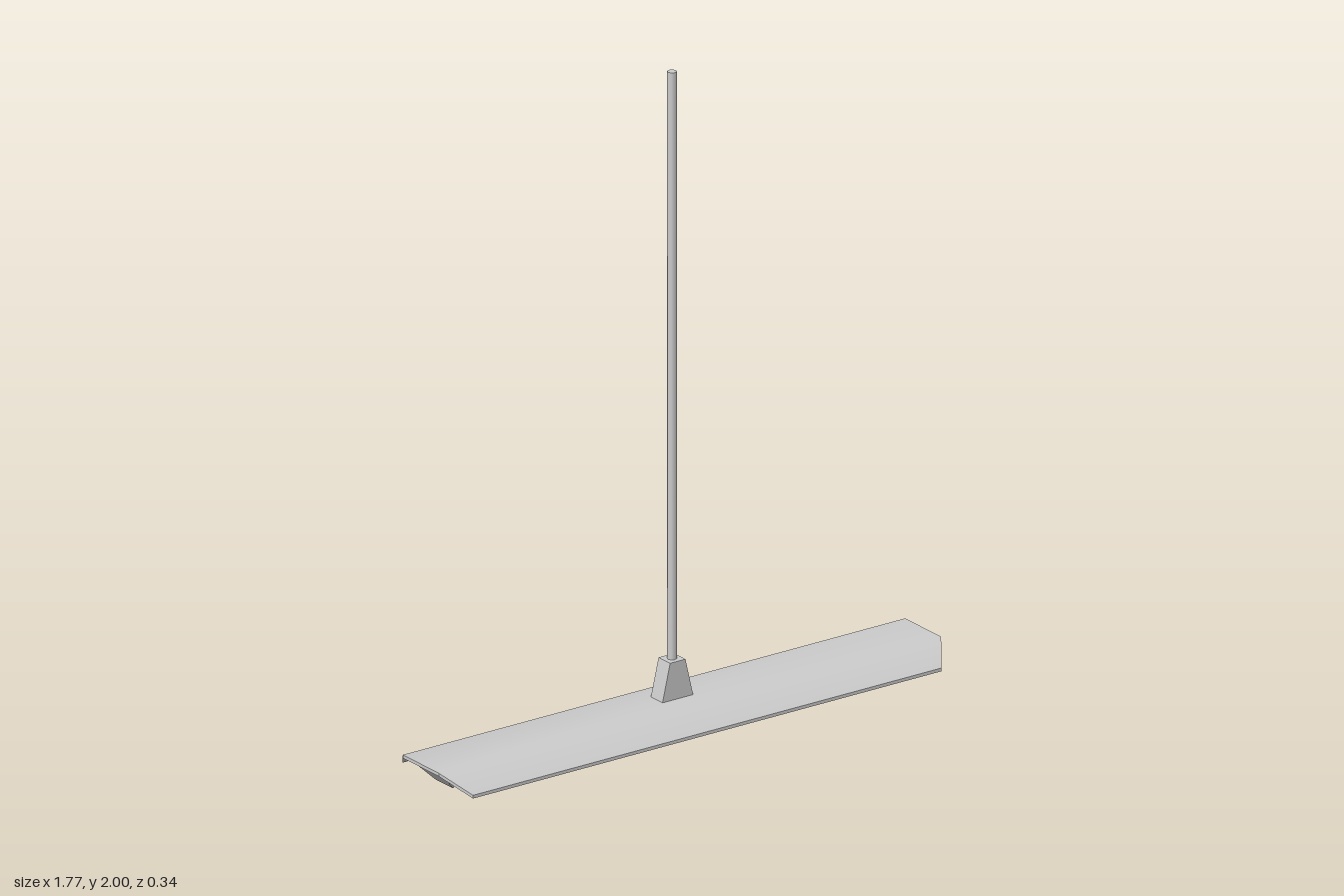
import * as THREE from 'three';

// Box whose bottom and top rectangles are given as [x0, x1, halfDepth]
function taperedBox(y0, y1, bottom, top) {
  const g = new THREE.BoxGeometry(1, 1, 1);
  const p = g.attributes.position;
  for (let i = 0; i < p.count; i++) {
    const isTop = p.getY(i) > 0;
    const [x0, x1, d] = isTop ? top : bottom;
    p.setXYZ(i, p.getX(i) > 0 ? x1 : x0, isTop ? y1 : y0, Math.sign(p.getZ(i)) * d);
  }
  g.computeVertexNormals();
  return g;
}

// Bent sheet with clipped corners: smooth top, smooth underside, hard rim
function shadeGeometry(thickness) {
  const rows = [[-0.17, 0.03, 0.825], [-0.087, 0.085, 0.885], [0.087, 0.085, 0.885], [0.17, 0.03, 0.825]];
  const pos = [], index = [];
  const point = (row, side, drop) => [side * row[2], row[1] - drop, row[0]];
  for (const drop of [0, thickness]) {
    const base = pos.length / 3;
    for (const r of rows) pos.push(...point(r, -1, drop), ...point(r, 1, drop));
    for (let i = 0; i < rows.length - 1; i++) {
      const a = base + i * 2, b = a + 1, c = a + 2, d = a + 3;
      if (drop === 0) index.push(a, c, b, b, c, d);
      else index.push(a, b, c, b, d, c);
    }
  }
  // Rim: walk round the outline, one separate quad per edge
  const outline = [...rows.map(r => [r, 1]), ...rows.slice().reverse().map(r => [r, -1])];
  outline.forEach(([r, s], i) => {
    const [r2, s2] = outline[(i + 1) % outline.length];
    const n = pos.length / 3;
    pos.push(...point(r, s, 0), ...point(r2, s2, 0), ...point(r, s, thickness), ...point(r2, s2, thickness));
    index.push(n, n + 1, n + 2, n + 1, n + 3, n + 2);
  });
  const g = new THREE.BufferGeometry();
  g.setAttribute('position', new THREE.Float32BufferAttribute(pos, 3));
  g.setIndex(index);
  g.computeVertexNormals();
  return g;
}

export function createModel() {
  const model = new THREE.Group();
  const grey = new THREE.MeshStandardMaterial({ color: 0xcccccc });
  grey.name = 'light grey';
  const add = (name, geometry) => {
    const mesh = new THREE.Mesh(geometry, grey);
    mesh.name = name;
    model.add(mesh);
    return mesh;
  };

  // Wide bent sheet
  add('shade', shadeGeometry(0.01));

  // Collar and long rod above the sheet
  add('collar', taperedBox(0.08, 0.2, [-0.055, 0.055, 0.028], [-0.027, 0.027, 0.028]));
  add('rod', new THREE.CylinderGeometry(0.014, 0.014, 1.81, 8)).position.y = 1.095;

  // Blocks under the sheet: one in the middle and a wedge at each end
  add('middleBlock', taperedBox(0, 0.077, [-0.055, 0.055, 0.042], [-0.055, 0.055, 0.087]));
  add('leftEndBlock', taperedBox(0.005, 0.077, [0.8, 0.803, 0.042], [0.8, 0.872, 0.087]));
  add('rightEndBlock', taperedBox(0.005, 0.077, [-0.803, -0.8, 0.042], [-0.872, -0.8, 0.087]));

  return model;
}
